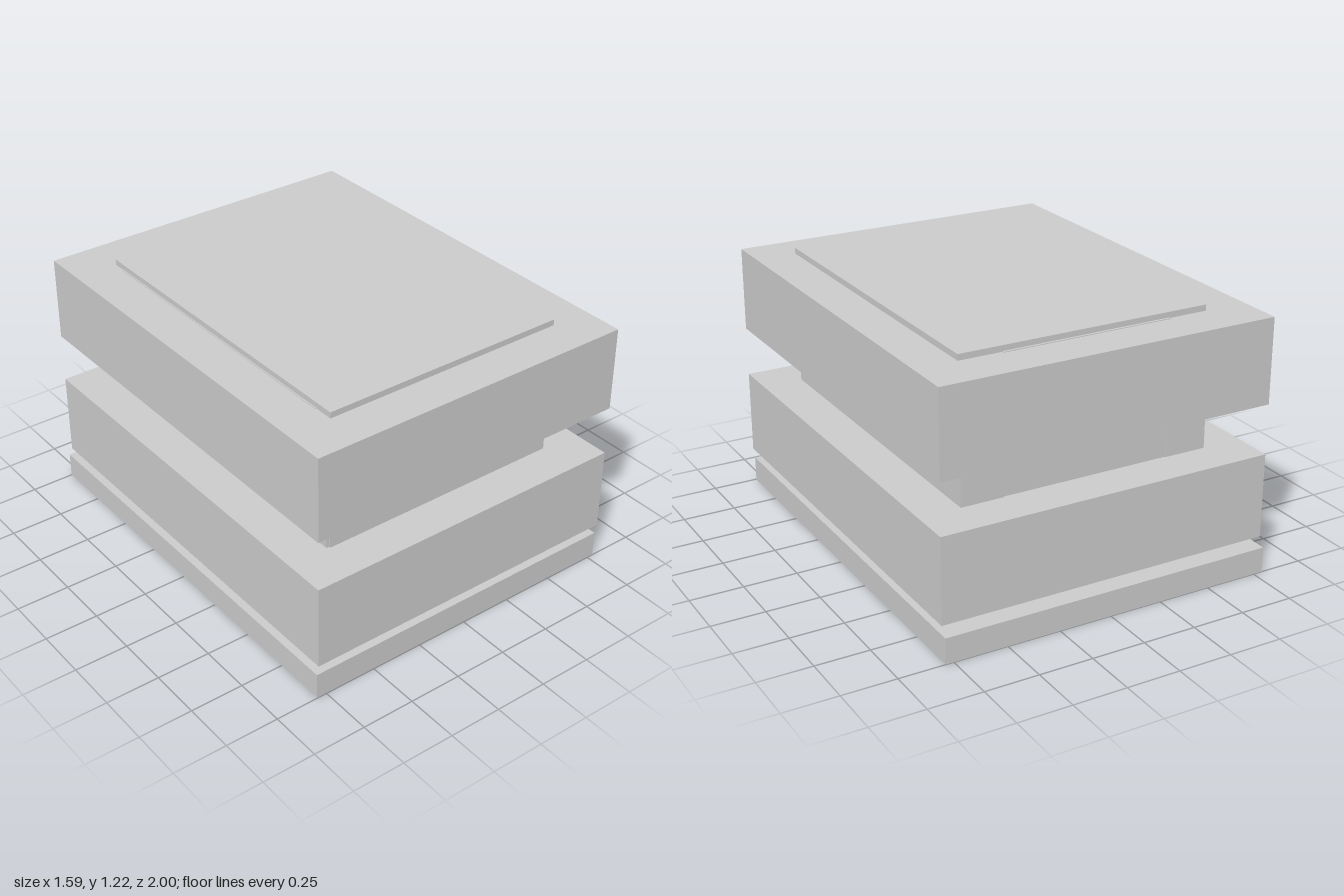
import * as THREE from 'three';

const material = new THREE.MeshStandardMaterial({ color: 0xcccccc, flatShading: true });

// Box given by its limits on each axis
function block(name, [x0, x1], [y0, y1], [z0, z1]) {
  const mesh = new THREE.Mesh(new THREE.BoxGeometry(x1 - x0, y1 - y0, z1 - z0), material);
  mesh.position.set((x0 + x1) / 2, (y0 + y1) / 2, (z0 + z1) / 2);
  mesh.name = name;
  return mesh;
}

export function createModel() {
  const model = new THREE.Group();
  model.name = 'steppedBlockTower';

  // Thin ground slab
  model.add(block('base', [-0.795, 0.787], [0, 0.12], [-1, 0.995]));

  // Two overhanging storeys
  [['lowerStorey', 0.167], ['upperStorey', 0.795]].forEach(([name, y]) => {
    model.add(block(name, [-0.79, 0.792], [y, y + 0.395], [-0.978, 1]));
  });

  // Core running through the storeys, showing as a low plate on the roof
  model.add(block('core', [-0.587, 0.6], [0.1, 1.218], [-0.774, 0.81]));

  // Shallow wall panels on the back and right sides
  model.add(block('backPanel', [-0.4, 0.4], [0.1, 1.193], [-0.785, -0.7]));
  model.add(block('sidePanel', [-0.593, -0.5], [0.1, 1.193], [-0.71, 0.72]));

  // Corner piers framing the panels
  const pierHeight = [0.1, 1.1];
  model.add(block('backLeftPier', [0.4, 0.6], pierHeight, [-0.79, -0.7]));
  model.add(block('backRightPier', [-0.6, -0.4], pierHeight, [-0.79, -0.71]));
  model.add(block('frontRightPier', [-0.6, -0.5], pierHeight, [0.72, 0.802]));

  return model;
}
